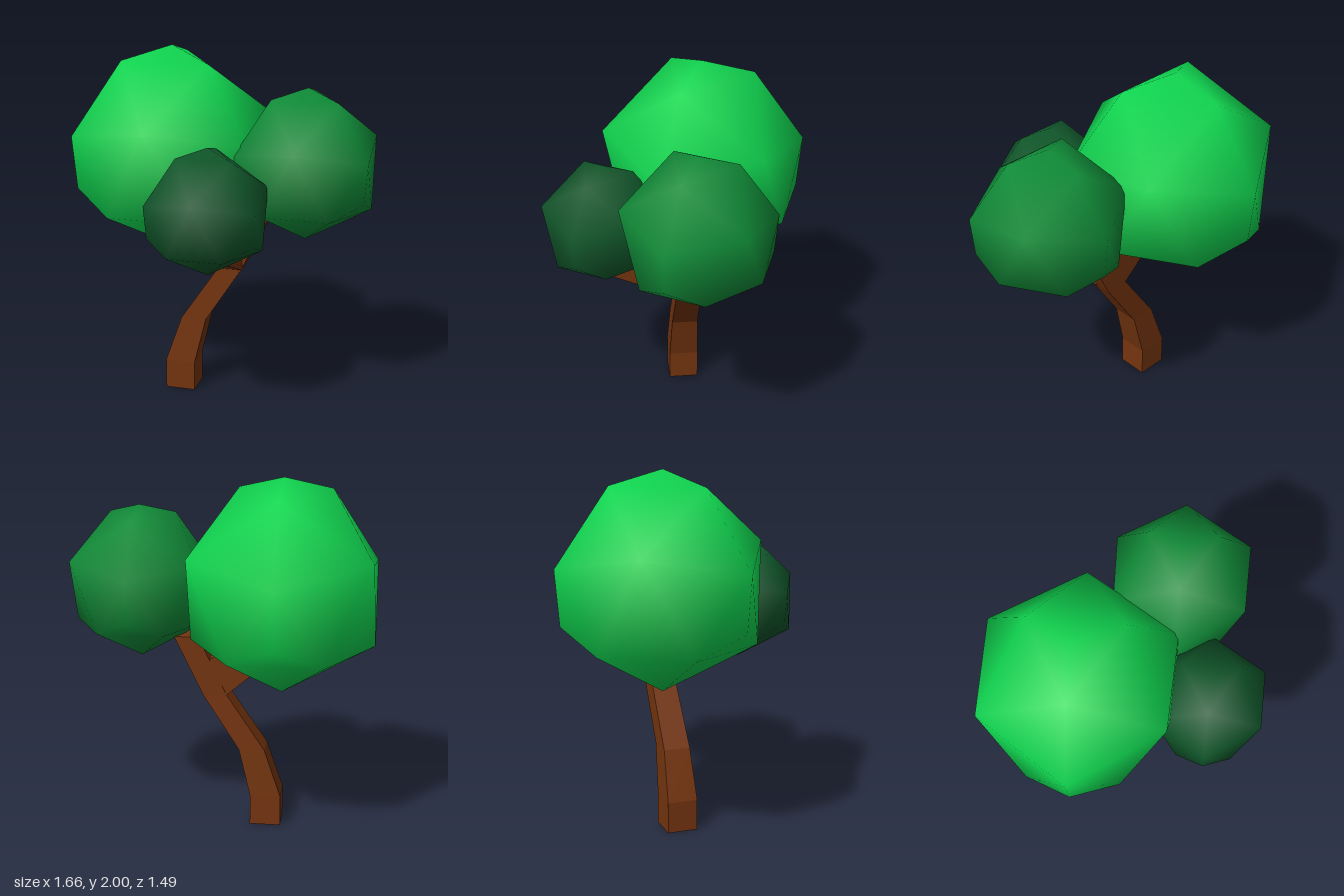
import * as THREE from 'three';

const bark = new THREE.MeshStandardMaterial({ color: 0x74340f, flatShading: true });

function addMesh(group, name, geometry, material) {
  const mesh = new THREE.Mesh(geometry, material);
  mesh.name = name;
  group.add(mesh);
  return mesh;
}

// Square trunk bent through horizontal sections: [y, centre x, centre z, width, depth]
function trunkGeometry() {
  const sections = [
    [0, -0.243, -0.05, 0.173, 0.17],
    [0.175, -0.243, -0.05, 0.173, 0.17],
    [0.45, -0.163, -0.05, 0.145, 0.15],
    [0.77, 0.047, -0.05, 0.135, 0.14],
    [1.1, 0.205, -0.05, 0.135, 0.14],
  ];
  const rows = sections.length - 1;
  const geometry = new THREE.BoxGeometry(1, 1, 1, 1, rows, 1);
  const p = geometry.attributes.position;
  for (let i = 0; i < p.count; i++) {
    const [y, x, z, w, d] = sections[Math.round((p.getY(i) + 0.5) * rows)];
    p.setXYZ(i, x + p.getX(i) * w, y, z + p.getZ(i) * d);
  }
  geometry.computeVertexNormals();
  return geometry;
}

// Branch: side outline given a thickness
function branchGeometry(outline, depth) {
  const shape = new THREE.Shape(outline.map(([a, b]) => new THREE.Vector2(a, b)));
  return new THREE.ExtrudeGeometry(shape, { depth, bevelEnabled: false });
}

// Low-poly ball: a divided tetrahedron turned so one corner points up
function crownGeometry(radius) {
  const turn = new THREE.Matrix4().makeBasis(
    new THREE.Vector3(-1, 1, 0).normalize(),
    new THREE.Vector3(1, 1, 1).normalize(),
    new THREE.Vector3(1, 1, -2).normalize()
  ).transpose();
  return new THREE.TetrahedronGeometry(radius, 2).applyMatrix4(turn);
}

export function createModel() {
  const tree = new THREE.Group();
  tree.name = 'tree';

  addMesh(tree, 'trunk', trunkGeometry(), bark);

  const side = branchGeometry([[-0.02, 0.77], [0.07, 0.8], [0.1, 0.96], [-0.15, 1.1], [-0.25, 0.97]], 0.138);
  side.translate(0, 0, -0.119);
  addMesh(tree, 'rightBranch', side, bark);

  const front = branchGeometry([[-0.03, 0.77], [0.02, 0.775], [0.42, 0.95], [0.36, 1.11], [0.02, 0.96], [-0.03, 0.96]], 0.15);
  front.rotateY(-Math.PI / 2).translate(0.122, 0, 0);
  addMesh(tree, 'frontBranch', front, bark);

  // Leaf crowns: name, radius, position, colour
  const crowns = [
    ['largeCrown', 0.59, [-0.33, 1.41, -0.165], 0x10d650],
    ['mediumCrown', 0.426, [0.465, 1.395, -0.055], 0x108c38],
    ['smallCrown', 0.348, [0.035, 1.23, 0.415], 0x10562a],
  ];
  for (const [name, radius, position, color] of crowns) {
    const material = new THREE.MeshStandardMaterial({ color });
    addMesh(tree, name, crownGeometry(radius), material).position.set(...position);
  }
  return tree;
}
